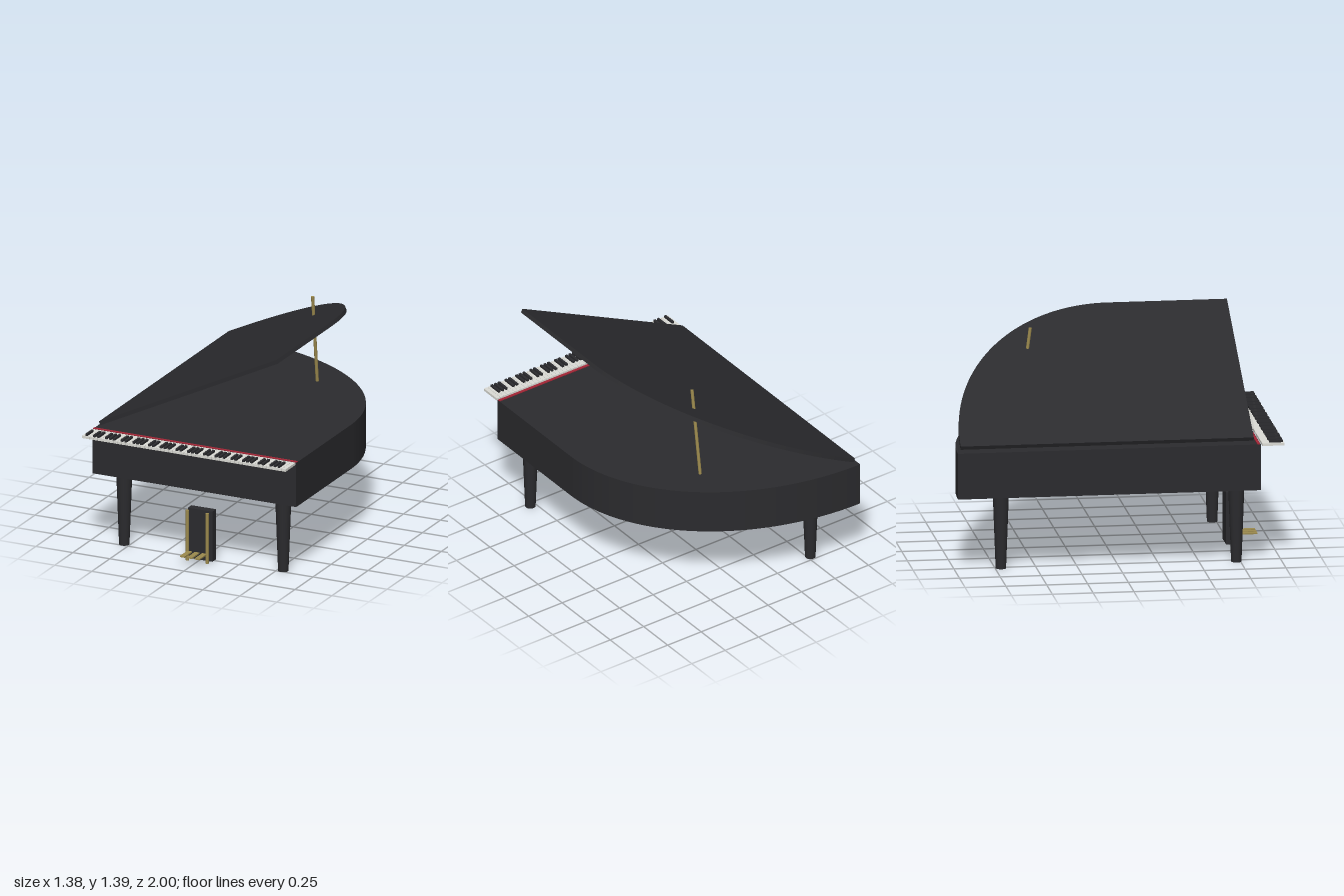
import * as THREE from 'three';

const paint = (color) => new THREE.MeshStandardMaterial({ color });
const black = paint(0x2b2b2e);
const gold = paint(0x9c8a4e);
const ivory = paint(0xdcdcd6);
const red = paint(0xa32636);

function add(parent, name, geometry, material, x = 0, y = 0, z = 0) {
  const mesh = new THREE.Mesh(geometry, material);
  mesh.name = name;
  mesh.position.set(x, y, z);
  parent.add(mesh);
  return mesh;
}

// Slab with a straight left edge and a quarter-ellipse tail, lying flat with its base at y = 0
function tailedSlab(x0, x1, zFront, zBend, zBack, height) {
  const shape = new THREE.Shape();
  shape.moveTo(x0, -zFront);
  shape.lineTo(x1, -zFront);
  shape.lineTo(x1, -zBend);
  shape.absellipse(x0, -zBend, x1 - x0, zBend - zBack, 0, Math.PI / 2, false);
  shape.closePath();
  return new THREE.ExtrudeGeometry(shape, { depth: height, bevelEnabled: false, curveSegments: 32 })
    .rotateX(-Math.PI / 2);
}

// Round rod between two points
function rod(parent, name, from, to, radius, material) {
  const a = new THREE.Vector3(...from), b = new THREE.Vector3(...to);
  const mesh = add(parent, name, new THREE.CylinderGeometry(radius, radius, a.distanceTo(b), 12), material);
  mesh.position.copy(a).lerp(b, 0.5);
  mesh.quaternion.setFromUnitVectors(new THREE.Vector3(0, 1, 0), b.sub(a).normalize());
}

export function createModel() {
  const piano = new THREE.Group();
  piano.name = 'grandPiano';
  const left = -0.688, right = 0.688;

  // Case
  add(piano, 'case', tailedSlab(left, right, 0.855, 0.1, -1, 0.285), black, 0, 0.475, 0);

  // Open lid, hinged on the straight side
  const lid = add(piano, 'lid', tailedSlab(0, 1.333, 0.815, 0.08, -0.98, 0.025), black, -0.654, 0.777, 0);
  lid.rotation.z = Math.atan2(0.585, 1.194);

  // Lid prop
  rod(piano, 'lidProp', [0.16, 0.755, -0.517], [0.166, 1.33, -0.44], 0.01, gold);

  // Tapered legs
  for (const [x, z] of [[-0.537, 0.725], [0.537, 0.725], [-0.52, -0.715]]) {
    add(piano, 'leg', new THREE.CylinderGeometry(0.05, 0.032, 0.477, 20), black, x, 0.2385, z);
  }

  // Felt strip behind the keys
  add(piano, 'feltStrip', new THREE.BoxGeometry(right - left, 0.006, 0.017), red, 0, 0.762, 0.842);

  // Keyboard: 52 white keys; black keys follow the repeating seven-note pattern
  const keyboard = new THREE.Group();
  keyboard.name = 'keyboard';
  piano.add(keyboard);
  const count = 52, pitch = (right - left) / count;
  const whiteKey = new THREE.BoxGeometry(pitch - 0.002, 0.016, 0.136);
  const blackKey = new THREE.BoxGeometry(0.015, 0.016, 0.085);
  const hasSharp = [true, false, true, true, false, true, true];
  for (let i = 0; i < count; i++) {
    const x = left + pitch * (i + 0.5);
    add(keyboard, 'whiteKey', whiteKey, ivory, x, 0.757, 0.932);
    if (hasSharp[i % 7] && i < count - 1) {
      add(keyboard, 'blackKey', blackKey, black, x + pitch / 2, 0.77, 0.951);
    }
  }

  // Pedal lyre
  const lyre = new THREE.Group();
  lyre.name = 'pedalLyre';
  piano.add(lyre);
  add(lyre, 'lyrePanel', new THREE.BoxGeometry(0.166, 0.323, 0.05), black, 0, 0.1615, 0.75);
  for (const side of [-1, 1]) {
    rod(lyre, 'lyrePost', [side * 0.067, 0, 0.815], [side * 0.067, 0.323, 0.815], 0.01, gold);
  }
  for (const x of [-0.05, 0, 0.05]) {
    add(lyre, 'pedal', new THREE.BoxGeometry(0.032, 0.008, 0.105), gold, x, 0.058, 0.868);
  }
  return piano;
}
